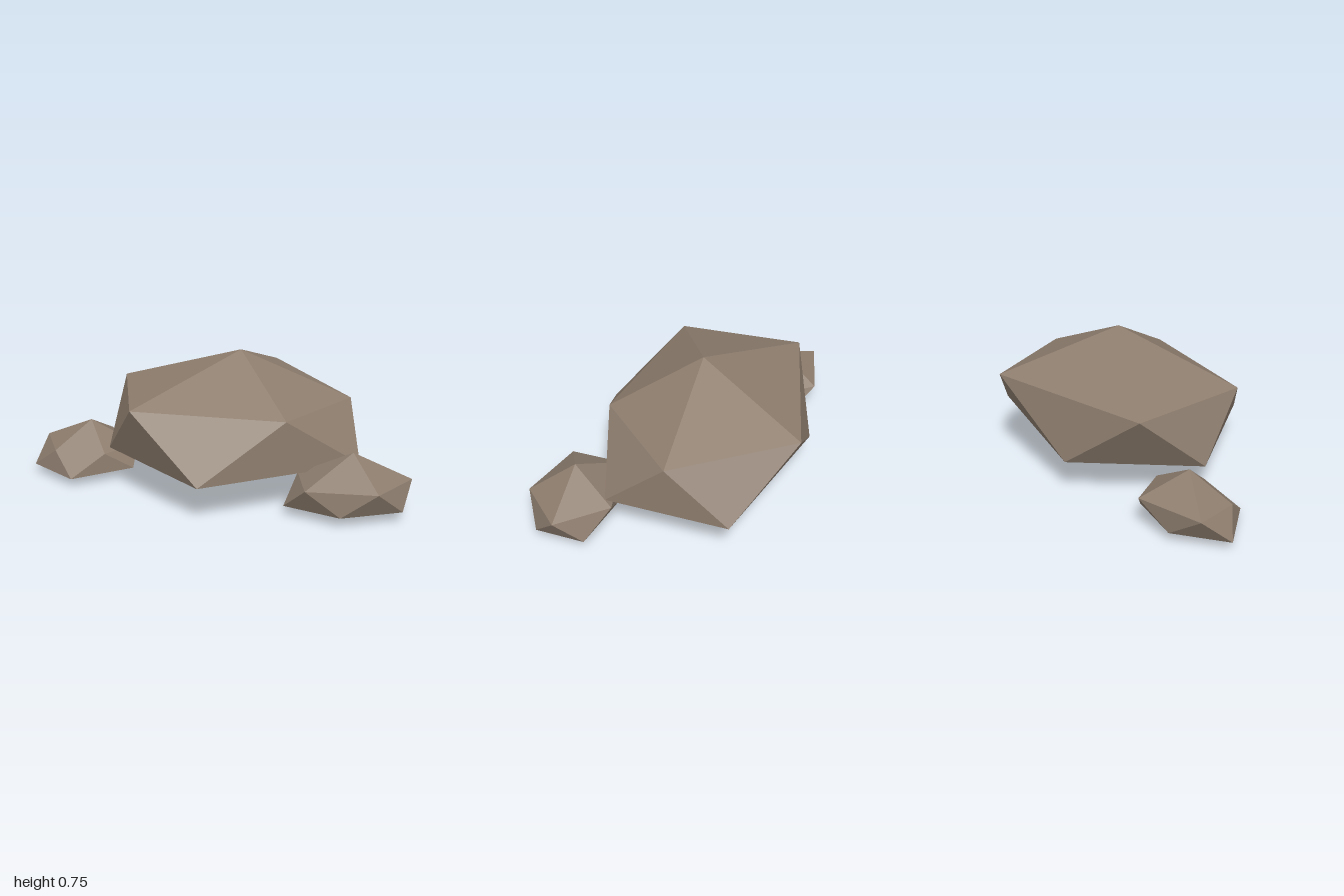
import * as THREE from 'three';

// Faceted boulder: top point, upper ring of 5, lower ring of 5, bottom point.
// Rings run from +x towards +z; the lower ring sits between the upper points.
function boulder(name, top, upper, lower, bottom, material) {
  const pos = [];
  const tri = (...corners) => corners.forEach((c) => pos.push(...c));
  for (let i = 0; i < 5; i++) {
    const j = (i + 1) % 5;
    tri(top, upper[j], upper[i]);
    tri(upper[i], upper[j], lower[i]);
    tri(upper[j], lower[j], lower[i]);
    tri(lower[i], lower[j], bottom);
  }
  const geo = new THREE.BufferGeometry();
  geo.setAttribute('position', new THREE.Float32BufferAttribute(pos, 3));
  geo.computeVertexNormals();
  const mesh = new THREE.Mesh(geo, material);
  mesh.name = name;
  return mesh;
}

export function createModel() {
  const group = new THREE.Group();
  group.name = 'rocks';
  const stone = new THREE.MeshStandardMaterial({ color: 0x8d7d6e, flatShading: true });
  stone.name = 'brown stone';

  // Large central rock
  group.add(boulder('largeRock', [0.15, 0.76, -0.07],
    [[0.755, 0.48, -0.07], [0.35, 0.49, 0.38], [-0.45, 0.52, 0.25], [-0.475, 0.535, -0.42], [0.41, 0.55, -0.665]],
    [[0.76, 0.21, 0.25], [-0.115, 0.2, 0.545], [-0.57, 0.215, -0.07], [-0.08, 0.21, -0.6], [0.765, 0.21, -0.41]],
    [0.15, 0.117, -0.07], stone));

  // Small rock at the front left
  group.add(boulder('frontSmallRock', [0.69, 0.34, 0.435],
    [[1.0, 0.19, 0.435], [0.785, 0.19, 0.66], [0.425, 0.185, 0.575], [0.425, 0.185, 0.29], [0.785, 0.19, 0.205]],
    [[0.93, 0.06, 0.565], [0.6, 0.06, 0.63], [0.335, 0.055, 0.435], [0.6, 0.06, 0.25], [0.935, 0.06, 0.3]],
    [0.69, 0.007, 0.435], stone));

  // Small rock at the back right
  group.add(boulder('backSmallRock', [-0.675, 0.315, -0.267],
    [[-0.42, 0.165, -0.267], [-0.6, 0.165, -0.1], [-0.875, 0.17, -0.16], [-0.93, 0.187, -0.41], [-0.57, 0.19, -0.505]],
    [[-0.445, 0.06, -0.157], [-0.785, 0.05, -0.018], [-1.0, 0.055, -0.267], [-0.745, 0.057, -0.456], [-0.445, 0.06, -0.395]],
    [-0.675, 0.005, -0.267], stone));

  return group;
}
